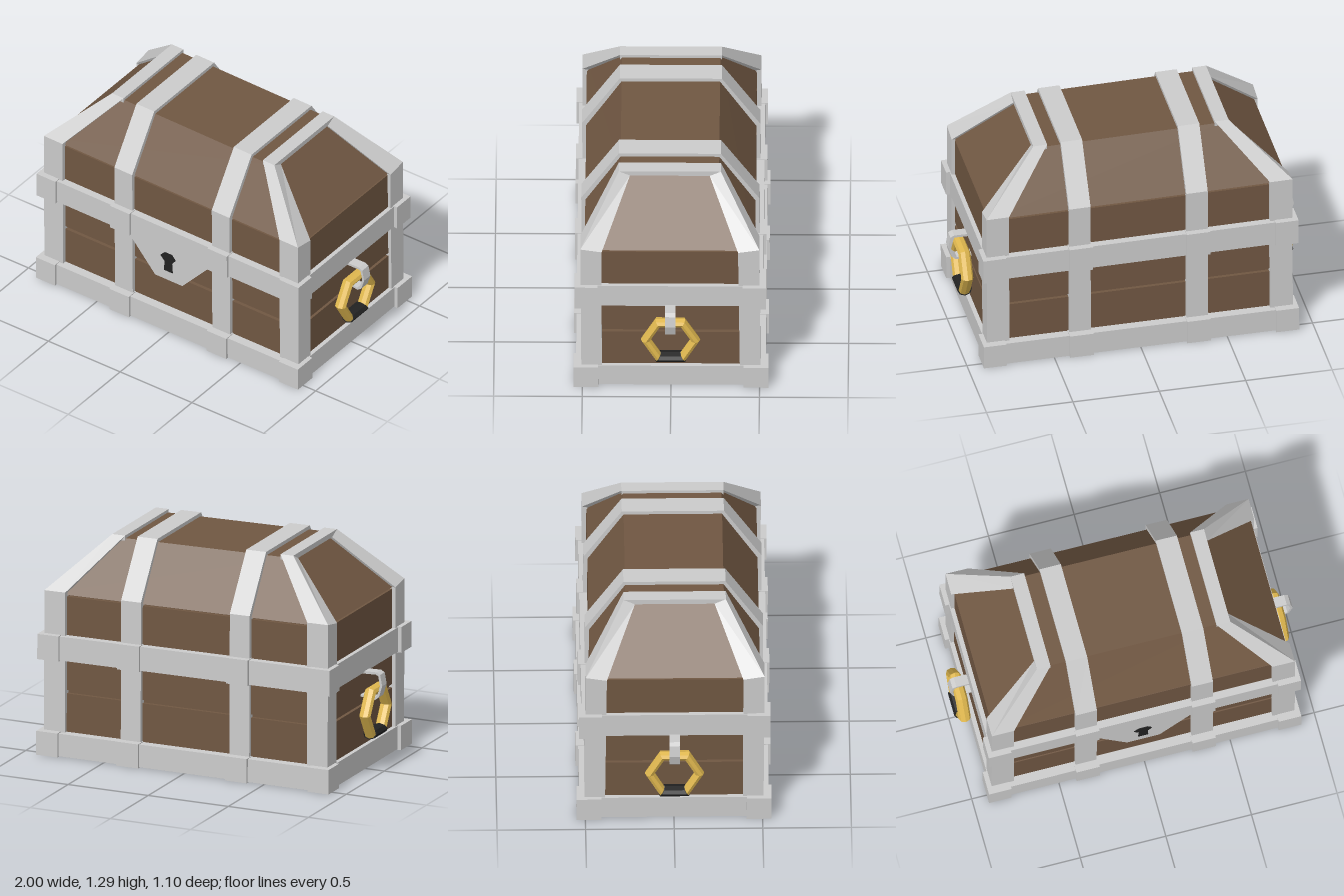
import * as THREE from 'three';

const mat = (color) => new THREE.MeshStandardMaterial({ color, flatShading: true, side: THREE.DoubleSide });

// Skin four-cornered rings of [x, y, z], bottom to top, with end caps
function loft(rings, flip = false) {
  const index = [];
  const tri = (a, b, c) => index.push(...(flip ? [a, c, b] : [a, b, c]));
  for (let r = 0; r < rings.length - 1; r++) {
    for (let i = 0; i < 4; i++) {
      const a = r * 4 + i, b = r * 4 + (i + 1) % 4;
      tri(a, b, b + 4);
      tri(a, b + 4, a + 4);
    }
  }
  const t = (rings.length - 1) * 4;
  tri(0, 2, 1); tri(0, 3, 2);
  tri(t, t + 1, t + 2); tri(t, t + 2, t + 3);
  const g = new THREE.BufferGeometry();
  g.setAttribute('position', new THREE.Float32BufferAttribute(rings.flat(2), 3));
  g.setIndex(index);
  const out = g.toNonIndexed();
  out.computeVertexNormals();
  return out;
}

const rect = (y, x, z) => [[x, y, z], [x, y, -z], [-x, y, -z], [-x, y, z]];

function box(x0, x1, y0, y1, z0, z1) {
  const g = new THREE.BoxGeometry(x1 - x0, y1 - y0, z1 - z0);
  return g.translate((x0 + x1) / 2, (y0 + y1) / 2, (z0 + z1) / 2);
}

function extrude(points, depth) {
  const shape = new THREE.Shape(points.map(([x, y]) => new THREE.Vector2(x, y)));
  return new THREE.ExtrudeGeometry(shape, { depth, bevelEnabled: false });
}

export function createModel() {
  const chest = new THREE.Group();
  chest.name = 'treasureChest';
  const wood = mat(0x705742), iron = mat(0xcccccc), gold = mat(0xe0b84f), dark = mat(0x222222);

  const add = (name, geometry, material) => {
    // Slightly crooked, hand-made lean
    const p = geometry.attributes.position;
    for (let i = 0; i < p.count; i++) {
      const y = p.getY(i);
      p.setY(i, y * (1 - 0.0125 * p.getX(i)));
      p.setZ(i, p.getZ(i) + 0.007 * y);
    }
    geometry.computeVertexNormals();
    const mesh = new THREE.Mesh(geometry, material);
    mesh.name = name;
    chest.add(mesh);
  };

  // Wooden body and hipped lid, with grooves between planks
  add('woodenBody', loft([
    rect(0.006, 0.865, 0.48), rect(0.365, 0.865, 0.48),
    rect(0.365, 0.845, 0.46), rect(0.385, 0.845, 0.46),
    rect(0.385, 0.865, 0.48), rect(0.94, 0.865, 0.48),
    rect(0.94, 0.845, 0.46), rect(0.95, 0.845, 0.46),
    rect(0.95, 0.865, 0.48), rect(1.262, 0.53, 0.278),
  ]), wood);

  // Corner posts that bend into the hip beams of the lid
  for (const sx of [1, -1]) {
    for (const sz of [1, -1]) {
      const rings = [
        [[0.755, 0, 0.505], [0.885, 0, 0.505], [0.885, 0, 0.39], [0.755, 0, 0.39]],
        [[0.755, 0.97, 0.505], [0.885, 0.97, 0.505], [0.885, 0.95, 0.385], [0.755, 0.95, 0.385]],
        [[0.485, 1.28, 0.288], [0.565, 1.28, 0.288], [0.565, 1.25, 0.225], [0.485, 1.25, 0.225]],
      ].map((ring) => ring.map(([x, y, z]) => [x * sx, y, z * sz]));
      add('cornerPost', loft(rings, sx * sz < 0), iron);
    }
    const [a, b] = [0.485 * sx, 0.565 * sx].sort((m, n) => m - n);
    add('lidEndBar', box(a, b, 1.25, 1.28, -0.288, 0.288), iron);
  }

  // Straps running all the way around the chest
  const hoop = [[0.503, 0], [0.503, 0.965], [0.288, 1.283], [-0.288, 1.283], [-0.503, 0.965], [-0.503, 0]];
  const strapX = [-0.333, 0.345];
  for (const x of strapX) {
    add('strap', extrude(hoop, 0.124).translate(0, 0, -0.062).rotateY(Math.PI / 2).translate(x, 0, 0), iron);
  }

  // Base frame and middle band, thickened at corners and straps
  for (const [name, y0, y1, out, t] of [['base', 0.004, 0.138, 0.01, 0.12], ['middleBand', 0.57, 0.712, 0, 0.08]]) {
    const z = 0.525 + out, x = 0.89;
    for (const s of [1, -1]) {
      const zs = [s * z, s * (z - t)].sort((m, n) => m - n);
      const xs = [s * x, s * (x - t)].sort((m, n) => m - n);
      add(name + 'LongRail', box(-x, x, y0, y1, ...zs), iron);
      add(name + 'EndRail', box(...xs, y0, y1, -z, z), iron);
      const zb = [s * (z + 0.015), s * 0.41].sort((m, n) => m - n);
      for (const c of [-1, 1]) {
        const xb = [c * 0.912, c * 0.78].sort((m, n) => m - n);
        add(name + 'Corner', box(...xb, y0 - 0.004, y1 + 0.004, ...zb), iron);
      }
      for (const sxp of strapX) {
        add(name + 'StrapBlock', box(sxp - 0.068, sxp + 0.068, y0 - 0.004, y1 + 0.004, ...zb), iron);
      }
    }
  }

  // Lock plate and keyhole
  add('lockPlate', extrude([[-0.28, 0.6], [-0.28, 0.565], [-0.1, 0.357], [0.09, 0.357], [0.277, 0.565], [0.277, 0.6]], 0.04)
    .translate(0, 0, 0.483), iron);
  add('keyhole', extrude([[-0.03, 0.545], [-0.06, 0.515], [-0.03, 0.482], [-0.036, 0.42], [0.024, 0.42],
    [0.02, 0.482], [0.045, 0.515], [0.02, 0.545]], 0.03).translate(0, 0, 0.497), dark);

  // Side handles: a bent clip, a six-sided ring and a dark grip
  const clip = [[0.86, 0.575], [0.965, 0.577], [0.987, 0.565], [1, 0.5], [0.98, 0.435], [0.955, 0.415], [0.86, 0.425],
    [0.86, 0.437], [0.95, 0.428], [0.969, 0.444], [0.986, 0.5], [0.975, 0.555], [0.96, 0.563], [0.86, 0.56]];
  const ringPart = (tube, arc, start, x) => new THREE.TorusGeometry(0.14, tube, 8, Math.round(arc / (Math.PI / 3)), arc)
    .rotateZ(start).scale(1, 1, 1.25).rotateY(Math.PI / 2).translate(x, 0.35, 0);
  for (const s of [1, -1]) {
    add('handleClip', extrude(clip.map(([x, y]) => [x * s, y]), 0.06).translate(0, 0, -0.03), iron);
    const x = s * 0.93 - 0.015;
    add('handleRing', ringPart(0.028, Math.PI * 5 / 3, -Math.PI / 3, x), gold);
    add('handleGrip', ringPart(0.034, Math.PI / 3, Math.PI * 4 / 3, x), dark);
  }
  return chest;
}
